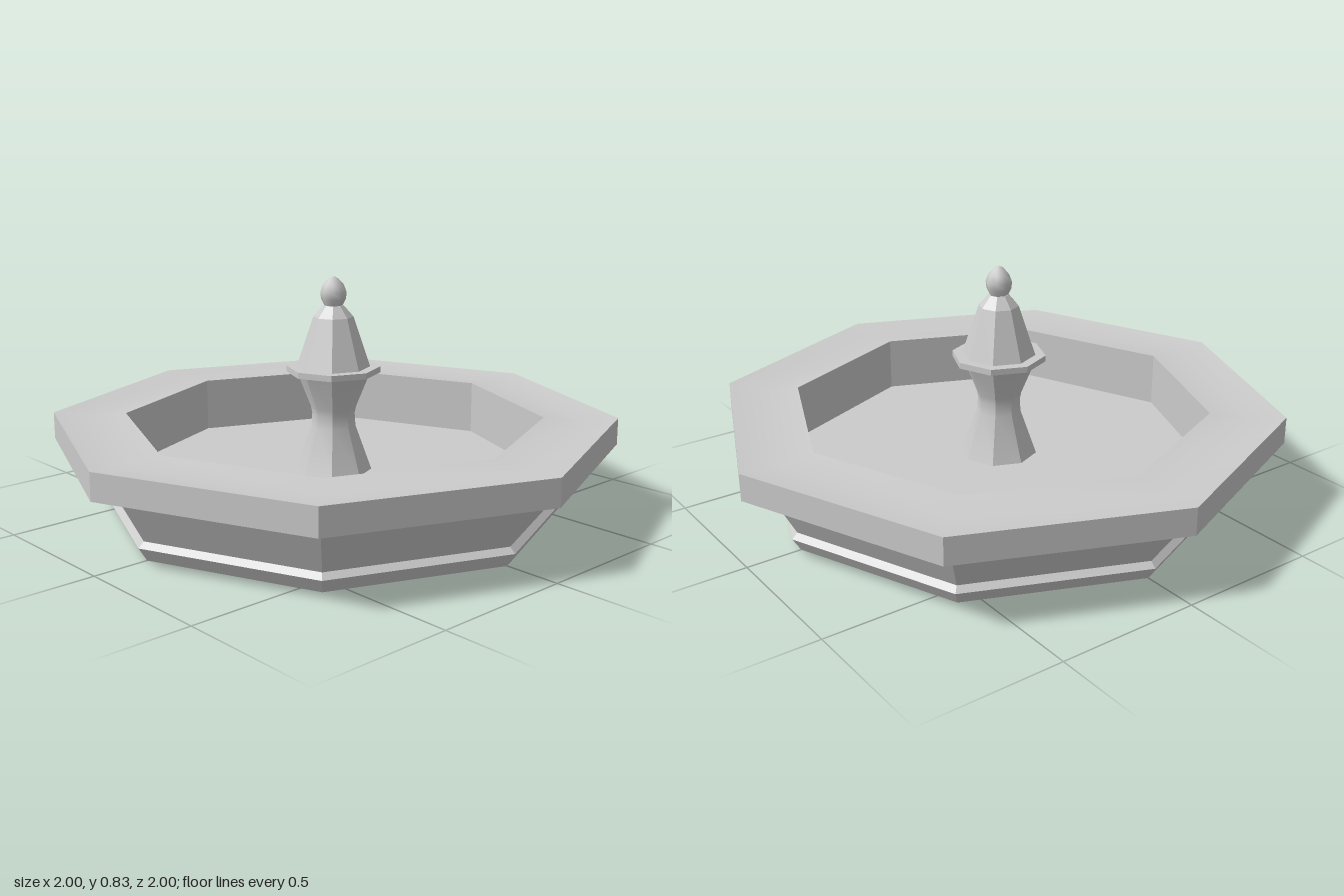
import * as THREE from 'three';
import { toCreasedNormals } from 'three/addons/utils/BufferGeometryUtils.js';

const material = new THREE.MeshStandardMaterial({ color: 0xcccccc });

// Eight-sided turned part; the profile runs [radius, height] from bottom to top on the outside
function turned(name, profile, crease = 0.5) {
  const points = profile.map(([r, y]) => new THREE.Vector2(r, y));
  const geometry = toCreasedNormals(new THREE.LatheGeometry(points, 8), crease);
  const mesh = new THREE.Mesh(geometry, material);
  mesh.name = name;
  return mesh;
}

export function createModel() {
  const fountain = new THREE.Group();
  fountain.name = 'fountain';

  // Basin: underside, foot moulding, flared wall, overhanging rim with a shallow hollow, inner wall, floor
  fountain.add(turned('basin', [
    [0, 0], [0.805, 0], [0.835, 0.048], [0.815, 0.067],
    [0.908, 0.24], [1, 0.24], [1, 0.335],
    [0.87, 0.322], [0.74, 0.335],
    [0.74, 0.14], [0, 0.14],
  ]));

  const centrepiece = new THREE.Group();
  centrepiece.name = 'centrepiece';
  fountain.add(centrepiece);

  // Pedestal: flared foot, narrow waist, widening cup
  centrepiece.add(turned('pedestal', [
    [0.135, 0.14], [0.078, 0.3], [0.075, 0.345], [0.08, 0.37], [0.13, 0.495],
  ]));

  // Thin plate around the widest point
  centrepiece.add(turned('collar', [
    [0, 0.493], [0.165, 0.493], [0.165, 0.514], [0, 0.514],
  ]));

  // Tapered cap
  centrepiece.add(turned('cap', [
    [0.13, 0.51], [0.07, 0.69], [0.035, 0.73], [0, 0.73],
  ], 0.3));

  // Pointed bud on top
  centrepiece.add(turned('finial', [
    [0.03, 0.725], [0.043, 0.752], [0.046, 0.775], [0.036, 0.802], [0.018, 0.822], [0, 0.832],
  ], 0.9));

  return fountain;
}
